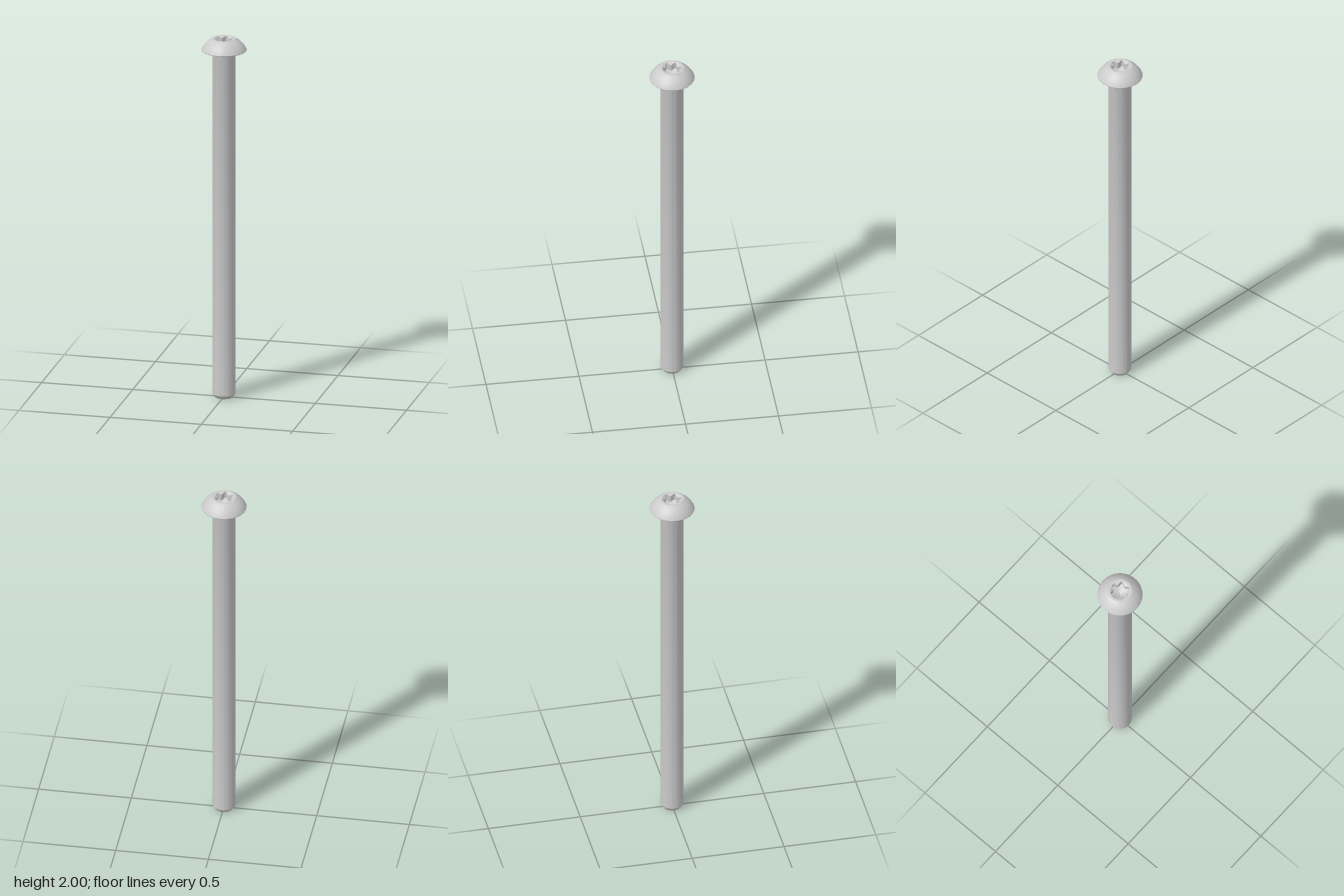
import * as THREE from 'three';
import { toCreasedNormals } from 'three/addons/utils/BufferGeometryUtils.js';

const SEGMENTS = 96;
const SHAFT_R = 0.0625, HEAD_R = 0.12, FLAT_R = 0.064, SOCKET_R = 0.052;
const HEAD_Y = 1.935, TOP_Y = 2;

function part(name, geometry) {
  const material = new THREE.MeshStandardMaterial({ color: 0xcccccc });
  const mesh = new THREE.Mesh(toCreasedNormals(geometry, 0.45), material);
  mesh.name = name;
  return mesh;
}

function lathe(profile) {
  return new THREE.LatheGeometry(profile.map(([r, y]) => new THREE.Vector2(r, y)), SEGMENTS);
}

// Skins a stack of closed rings; each ring maps an angle to [radius, height]
function skinRings(rings) {
  const positions = [], indices = [];
  rings.forEach((ring, i) => {
    for (let j = 0; j < SEGMENTS; j++) {
      const angle = (j / SEGMENTS) * Math.PI * 2;
      const [r, y] = ring(angle);
      positions.push(r * Math.cos(angle), y, r * Math.sin(angle));
      if (i === 0) continue;
      const next = (j + 1) % SEGMENTS;
      const a = (i - 1) * SEGMENTS + j, b = (i - 1) * SEGMENTS + next;
      const c = i * SEGMENTS + j, d = i * SEGMENTS + next;
      indices.push(a, c, b);
      if (i < rings.length - 1) indices.push(b, c, d);
    }
  });
  const geometry = new THREE.BufferGeometry();
  geometry.setAttribute('position', new THREE.Float32BufferAttribute(positions, 3));
  geometry.setIndex(indices);
  return geometry;
}

// Six-lobed outline with lobes on the z axis
function starRadius(angle) {
  const lobe = (1 + Math.cos(6 * (angle - Math.PI / 2))) / 2;
  return 0.037 + 0.014 * Math.pow(lobe, 1.3);
}

export function createModel() {
  const group = new THREE.Group();
  group.name = 'screw';

  // Plain shaft with a chamfered end and a slight flare under the head
  group.add(part('shaft', lathe([
    [0, 0], [0.049, 0], [SHAFT_R, 0.02], [SHAFT_R, HEAD_Y - 0.006],
    [SHAFT_R + 0.0015, HEAD_Y - 0.002], [SHAFT_R + 0.005, HEAD_Y],
  ])));

  // Button head: flat underside, thin rim, spherical dome, flat top
  const domeR = 0.132, domeY = 1.884;
  const start = Math.acos(HEAD_R / domeR), end = Math.acos(FLAT_R / domeR);
  const profile = [[SHAFT_R, HEAD_Y], [HEAD_R - 0.001, HEAD_Y], [HEAD_R, HEAD_Y + 0.002]];
  for (let i = 0; i <= 12; i++) {
    const t = start + (end - start) * (i / 12);
    profile.push([domeR * Math.cos(t), Math.min(TOP_Y, domeY + domeR * Math.sin(t))]);
  }
  profile.push([FLAT_R, TOP_Y], [SOCKET_R, TOP_Y]);
  group.add(part('head', lathe(profile)));

  // Socket: countersink, lobed wall, conical floor
  const floorY = (r) => 1.935 + 0.5 * r;
  group.add(part('driveSocket', skinRings([
    () => [SOCKET_R, TOP_Y],
    (a) => [starRadius(a), TOP_Y - 0.7 * (SOCKET_R - starRadius(a))],
    (a) => [starRadius(a), floorY(starRadius(a))],
    (a) => [starRadius(a) * 0.5, floorY(starRadius(a) * 0.5)],
    () => [0, floorY(0)],
  ])));

  return group;
}
